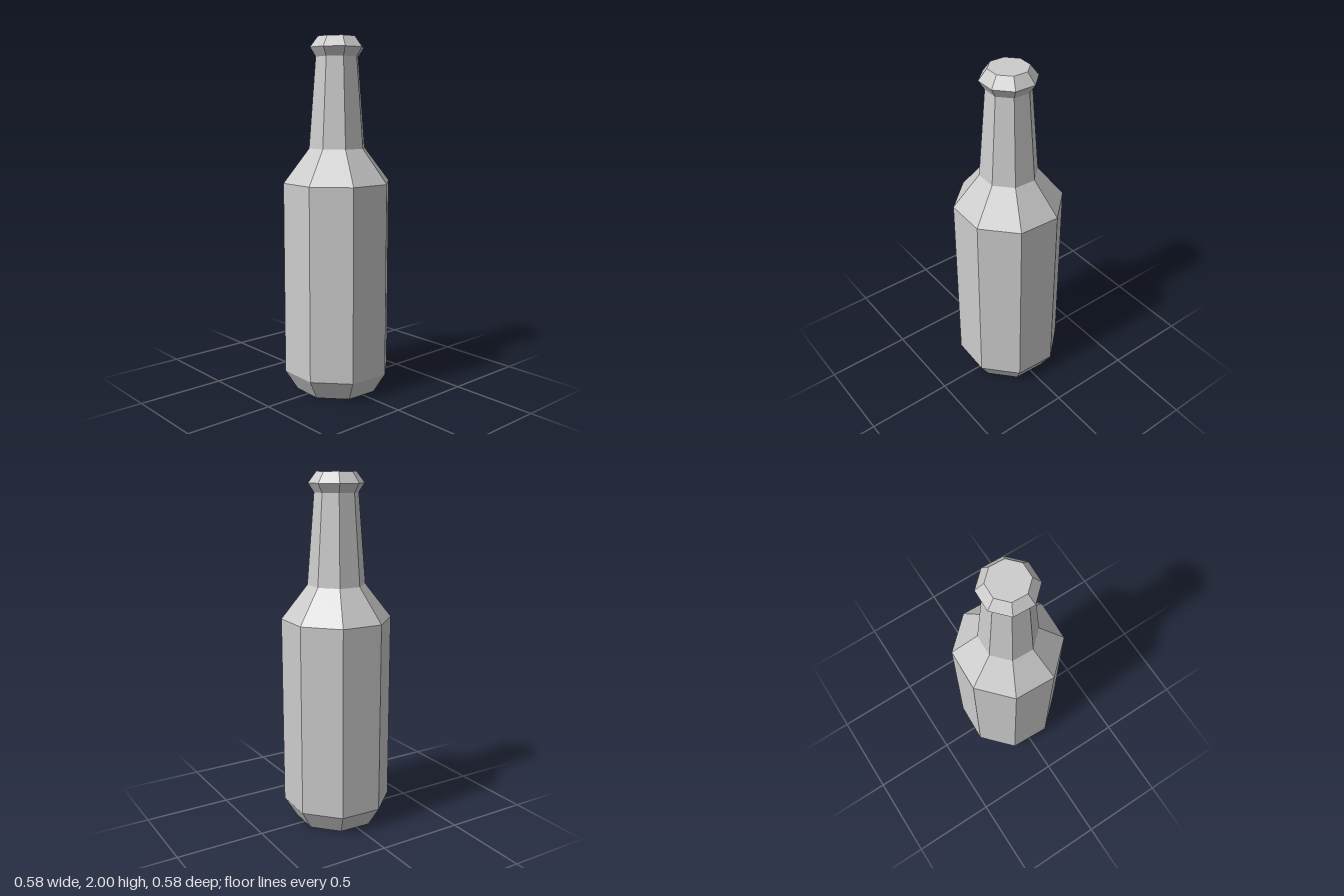
import * as THREE from 'three';

const SIDES = 8;
const TWIST = THREE.MathUtils.degToRad(20);

// Faceted ring section from [radius, height] pairs, listed bottom to top
function section(name, profile, material) {
  const points = profile.map(([r, y]) => new THREE.Vector2(r, y));
  const geometry = new THREE.LatheGeometry(points, SIDES, TWIST).toNonIndexed();
  geometry.computeVertexNormals(); // one normal per facet
  const mesh = new THREE.Mesh(geometry, material);
  mesh.name = name;
  return mesh;
}

export function createModel() {
  const group = new THREE.Group();
  group.name = 'bottle';

  const glass = new THREE.MeshStandardMaterial({ color: 0xcccccc, flatShading: true });
  glass.name = 'pale grey';

  // Closed base with bevel, then the straight body
  group.add(section('base', [[0, 0], [0.238, 0], [0.309, 0.115]], glass));
  group.add(section('body', [[0.309, 0.115], [0.309, 1.2]], glass));

  // Sloping shoulder and tapered neck
  group.add(section('shoulder', [[0.309, 1.2], [0.162, 1.39]], glass));
  group.add(section('neck', [[0.162, 1.39], [0.122, 1.89]], glass));

  // Flared lip with closed top
  group.add(section('lip', [[0.122, 1.89], [0.154, 1.94], [0.109, 2], [0, 2]], glass));

  return group;
}
